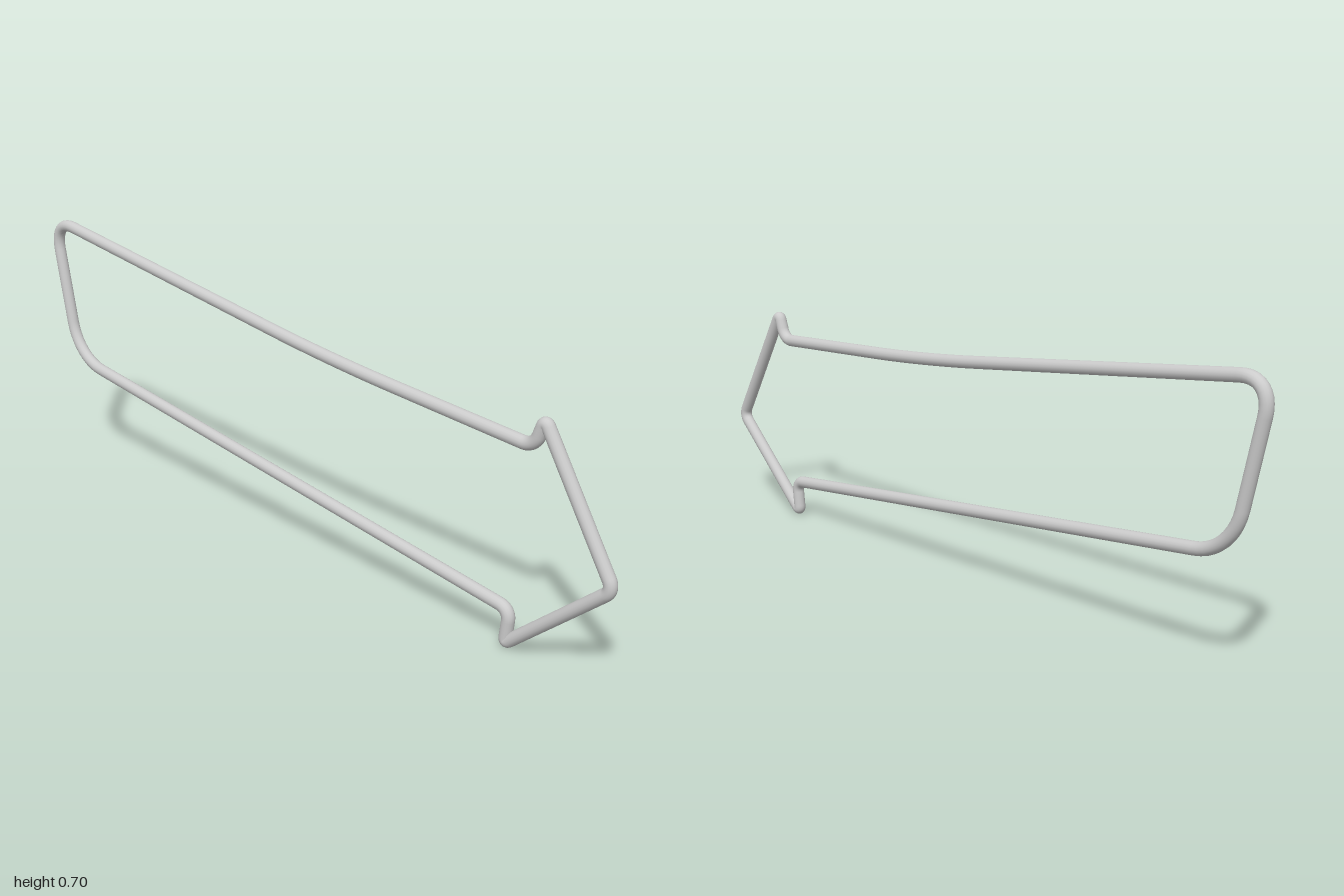
import * as THREE from 'three';

// Closed path made of straight runs and rounded corners, each evenly sampled
class RoundedLoop extends THREE.Curve {
  constructor(corners) {
    super();
    this.pieces = [];
    const n = corners.length;
    const toward = (a, b, d) => a.clone().add(b.clone().sub(a).setLength(d));
    const bends = corners.map(({ p, trim }, i) => {
      const a = toward(p, corners[(i + n - 1) % n].p, trim);
      const b = toward(p, corners[(i + 1) % n].p, trim);
      return new THREE.CubicBezierCurve3(a, a.clone().lerp(p, 0.6), b.clone().lerp(p, 0.6), b);
    });
    bends.forEach((bend, i) => {
      this.pieces.push(bend, new THREE.LineCurve3(bend.v3, bends[(i + 1) % n].v0));
    });
  }
  locate(u) {
    const s = u * this.pieces.length;
    const i = Math.min(Math.floor(s + 1e-9), this.pieces.length - 1);
    return [this.pieces[i], THREE.MathUtils.clamp(s - i, 0, 1)];
  }
  getPoint(u, target = new THREE.Vector3()) {
    const [piece, t] = this.locate(u);
    return piece.getPoint(t, target);
  }
  getPointAt(u, target) {
    return this.getPoint(u, target);
  }
  getTangentAt(u, target = new THREE.Vector3()) {
    const [piece, t] = this.locate(u);
    return piece.getTangent(t, target);
  }
}

export function createModel() {
  const group = new THREE.Group();
  group.name = 'arrowWireLoop';

  // Corners: x, y, length trimmed for rounding
  const outline = [
    [-1.0, 0.695, 0.09],   // upper tail corner
    [-0.91, 0.3, 0.105],   // lower tail corner
    [0.718, 0.099, 0.03],  // lower notch
    [0.708, 0.011, 0.018], // lower barb
    [0.992, 0.246, 0.025], // arrow tip
    [0.788, 0.574, 0.018], // upper barb
    [0.762, 0.505, 0.032], // upper notch
    [0.128, 0.548, 0.2],   // slight bend in the upper side
  ];

  // The loop lies in an upright plane turned slightly about y
  const corners = outline.map(([x, y, trim]) => ({ p: new THREE.Vector3(x, y, 0.042 * x), trim }));
  const path = new RoundedLoop(corners);

  const wire = new THREE.Mesh(
    new THREE.TubeGeometry(path, path.pieces.length * 10, 0.016, 16, true),
    new THREE.MeshStandardMaterial({ color: 0xcccccc })
  );
  wire.name = 'wire';
  group.add(wire);
  return group;
}
